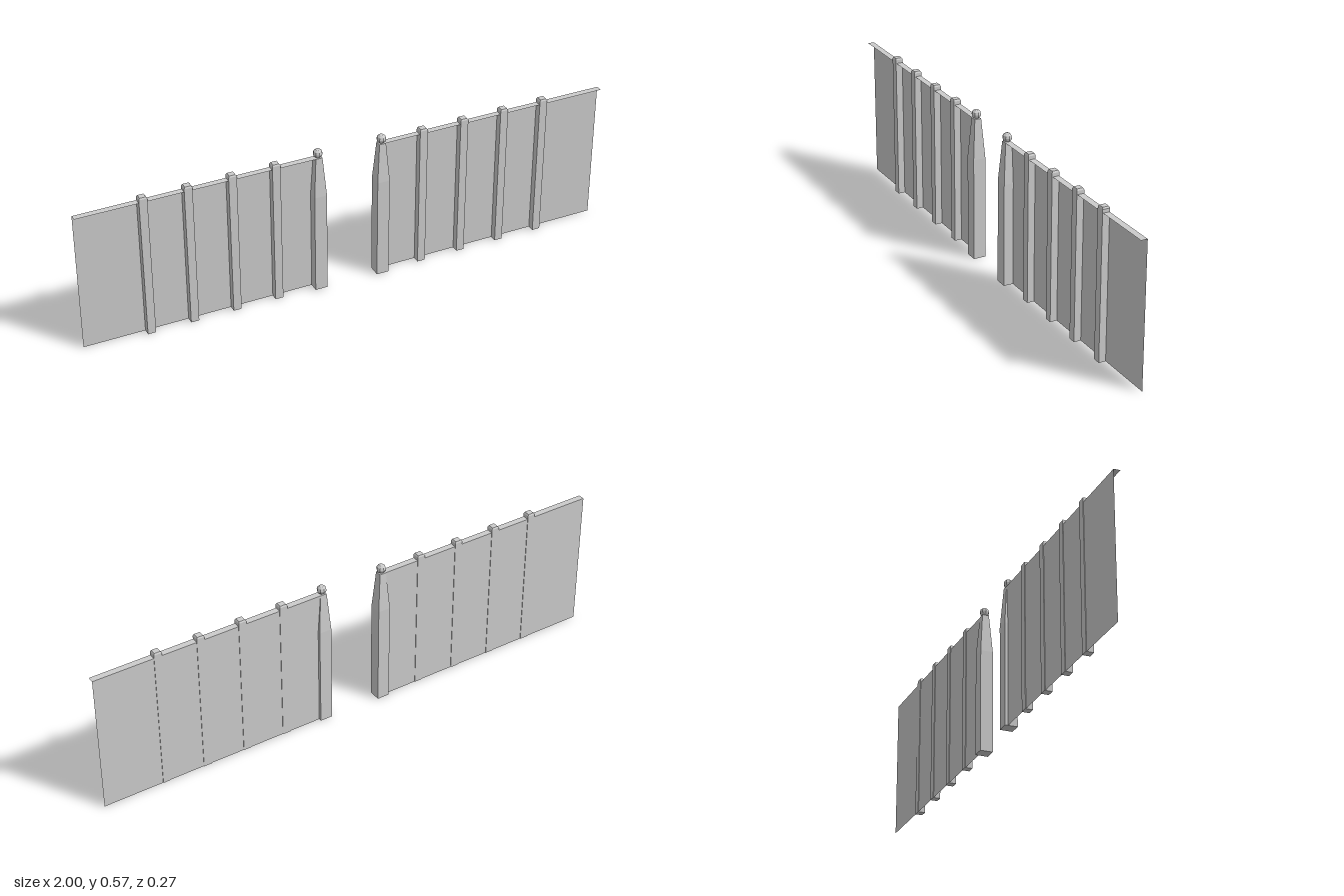
import * as THREE from 'three';

const grey = new THREE.MeshStandardMaterial({ color: 0xcccccc, flatShading: true });
const sheet = new THREE.MeshStandardMaterial({ color: 0xcccccc, side: THREE.DoubleSide });

const TILT = 0.1273;   // each wing is turned slightly about the vertical
const HEIGHT = 0.54;
const LENGTH = 0.887;  // from gate post to outer end
const DEPTH = 0.024;

function add(parent, name, geometry, material, x = 0, y = 0, z = 0) {
  const mesh = new THREE.Mesh(geometry, material);
  mesh.name = name;
  mesh.position.set(x, y, z);
  parent.add(mesh);
  return mesh;
}

// Square post whose upper part narrows through folded triangles
function postGeometry(half, top, foldY, topY) {
  const p = [];
  const corner = (i, r, y) => {
    const a = Math.PI / 4 + i * Math.PI / 2;
    return [Math.SQRT2 * r * Math.sin(a), y, Math.SQRT2 * r * Math.cos(a)];
  };
  const tri = (a, b, c) => p.push(...a, ...b, ...c);
  for (let i = 0; i < 4; i++) {
    const a0 = corner(i, half, 0), b0 = corner(i + 1, half, 0);
    const a1 = corner(i, half, foldY), b1 = corner(i + 1, half, foldY);
    const a2 = corner(i, top, topY), b2 = corner(i + 1, top, topY);
    const mid = a1.map((v, k) => (v + b1[k]) / 2);
    tri(a0, b0, b1);
    tri(a0, b1, a1);
    tri(a1, mid, a2);
    tri(mid, b2, a2);
    tri(mid, b1, b2);
    tri(a2, b2, [0, topY, 0]);
    tri(b0, a0, [0, 0, 0]);
  }
  const g = new THREE.BufferGeometry();
  g.setAttribute('position', new THREE.Float32BufferAttribute(p, 3));
  g.computeVertexNormals();
  return g;
}

// Upright rib with a bevelled top
function ribGeometry(width, depth, height, bevel) {
  const g = new THREE.BoxGeometry(width, height, depth, 1, 2, 1);
  g.translate(0, height / 2, 0);
  const pos = g.attributes.position;
  for (let i = 0; i < pos.count; i++) {
    const y = pos.getY(i);
    if (y > height * 0.9) {
      pos.setX(i, pos.getX(i) * 0.75);
      pos.setZ(i, pos.getZ(i) * 0.8);
    } else if (y > height * 0.1) pos.setY(i, height - bevel);
  }
  g.computeVertexNormals();
  return g;
}

function wing(name, side) {
  const g = new THREE.Group();
  g.name = name;
  g.position.set(side * 0.12, 0, -side * 0.012);
  g.rotation.y = TILT;

  // Thin wall with a flat ledge along its top
  const cx = side * LENGTH / 2;
  add(g, 'wallSheet', new THREE.PlaneGeometry(LENGTH, HEIGHT), sheet, cx, HEIGHT / 2, -DEPTH / 2);
  const ledge = add(g, 'topLedge', new THREE.PlaneGeometry(LENGTH, DEPTH), sheet, cx, HEIGHT, 0);
  ledge.rotation.x = -Math.PI / 2;

  // Ribs
  const rib = ribGeometry(0.03, DEPTH + 0.004, 0.559, 0.006);
  for (let i = 1; i <= 4; i++) add(g, 'rib' + i, rib, grey, side * i * 0.1613);

  // Gate post with ball finial
  add(g, 'gatePost', postGeometry(0.0235, 0.0125, 0.39, HEIGHT), grey);
  add(g, 'ballFinial', new THREE.SphereGeometry(0.0175, 8, 6), grey, 0, 0.556, 0);
  return g;
}

export function createModel() {
  const model = new THREE.Group();
  model.name = 'gatewayWalls';
  model.add(wing('leftWing', 1), wing('rightWing', -1));
  return model;
}
